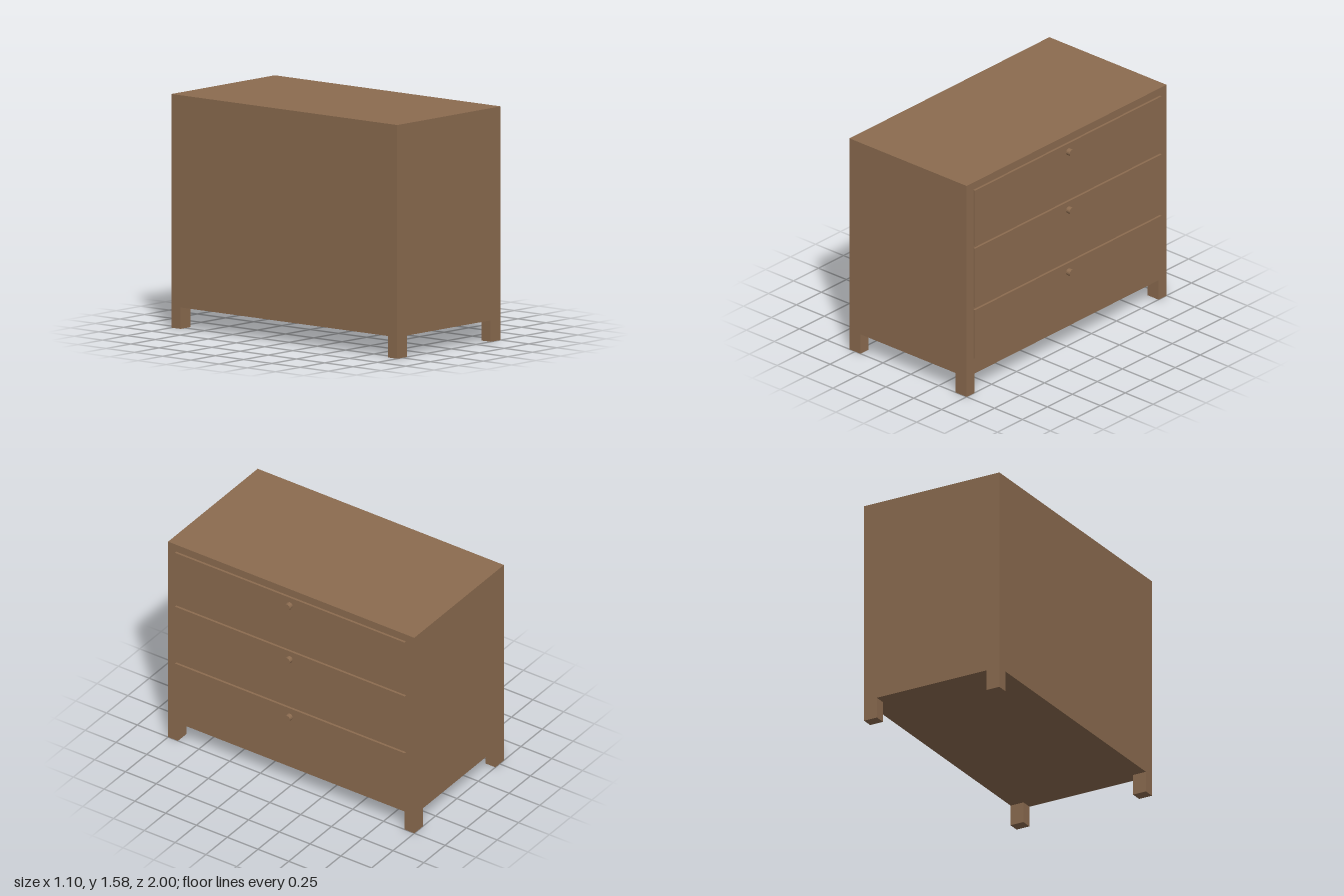
import * as THREE from 'three';

export function createModel() {
  const chest = new THREE.Group();
  chest.name = 'chestOfDrawers';
  const wood = new THREE.MeshStandardMaterial({ color: 0x8b6b4f, flatShading: true });

  // Box given by its lower and upper bounds
  function addBox(name, [x0, y0, z0], [x1, y1, z1]) {
    const mesh = new THREE.Mesh(new THREE.BoxGeometry(x1 - x0, y1 - y0, z1 - z0), wood);
    mesh.position.set((x0 + x1) / 2, (y0 + y1) / 2, (z0 + z1) / 2);
    mesh.name = name;
    chest.add(mesh);
  }

  const back = -0.55, face = 0.5, panelFace = 0.517, bottom = 0.145;

  // Cabinet body; the drawers open toward +x
  addBox('cabinet', [back, bottom, -1], [face, 1.58, 1]);

  // Four corner legs
  for (const x of [back, face - 0.1]) {
    for (const z of [-1, 0.92]) addBox('leg', [x, 0, z], [x + 0.1, bottom, z + 0.08]);
  }

  // Drawer fronts, each with a round knob near its top edge
  const drawers = [
    { y0: 0.265, y1: 0.63, knobY: 0.565 },
    { y0: 0.65, y1: 1.09, knobY: 1.03 },
    { y0: 1.11, y1: 1.525, knobY: 1.465 },
  ];
  for (const { y0, y1, knobY } of drawers) {
    addBox('drawerFront', [face, y0, -0.933], [panelFace, y1, 0.933]);
    const knob = new THREE.Mesh(new THREE.CylinderGeometry(0.024, 0.024, 0.033, 16), wood);
    knob.rotation.z = -Math.PI / 2;
    knob.position.set(panelFace + 0.0165, knobY, 0);
    knob.name = 'knob';
    chest.add(knob);
  }

  return chest;
}
